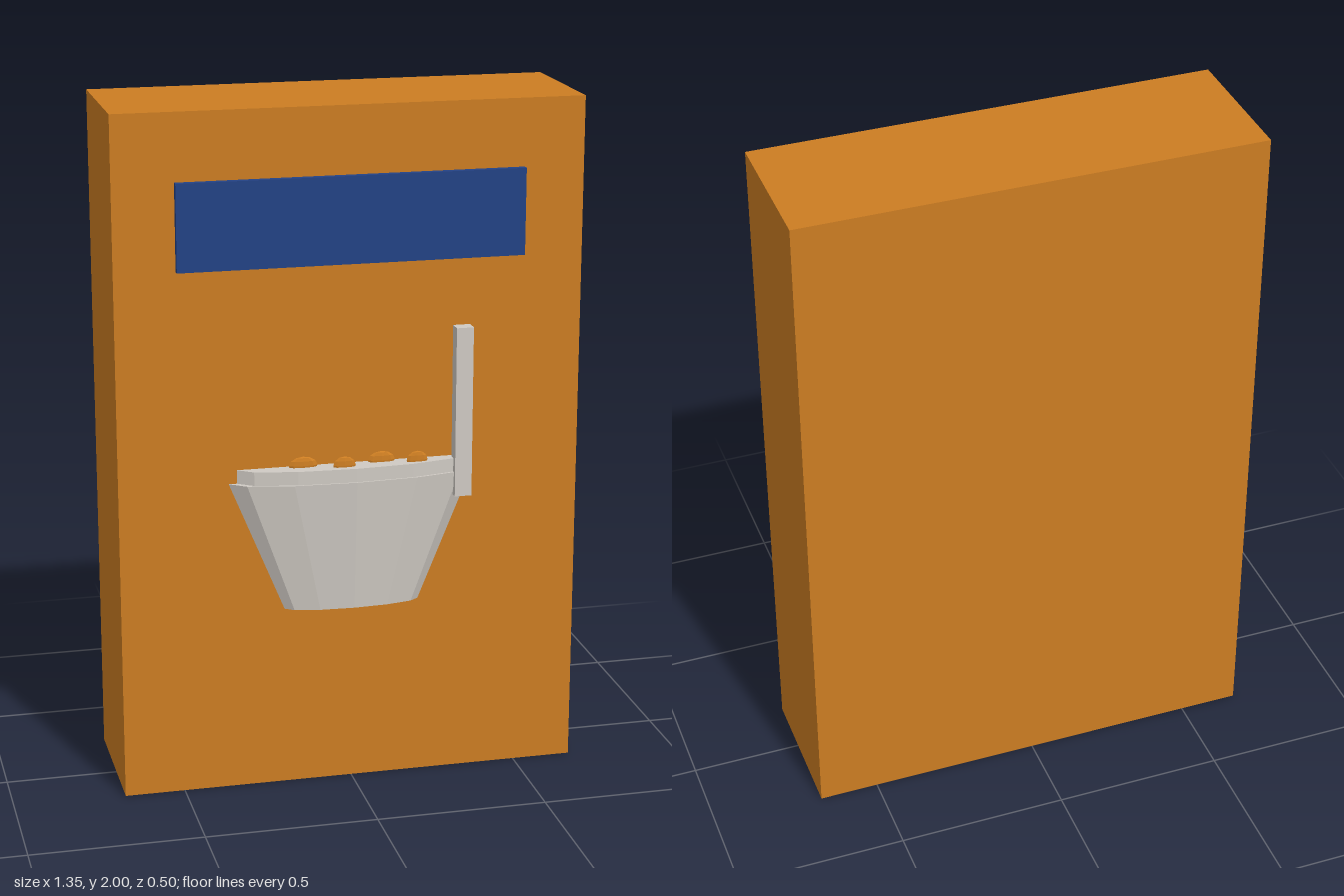
import * as THREE from 'three';

const flat = (name, color) => {
  const m = new THREE.MeshStandardMaterial({ color });
  m.name = name;
  m.flatShading = true;
  return m;
};

export function createModel() {
  const model = new THREE.Group();
  const orange = flat('orange', 0xcc7d22);
  const blue = flat('blue', 0x234285);
  const pale = flat('paleGrey', 0xcfcac3);

  const add = (name, geometry, material, x, y, z, parent = model) => {
    const mesh = new THREE.Mesh(geometry, material);
    mesh.name = name;
    mesh.position.set(x, y, z);
    parent.add(mesh);
    return mesh;
  };

  // Thick board and its header panel
  add('board', new THREE.BoxGeometry(1.35, 2, 0.424), orange, 0, 1, -0.036);
  add('headerPanel', new THREE.BoxGeometry(1, 0.25, 0.04), blue, 0, 1.68, 0.176);

  // Bowl in relief: twelve-sided, squashed against the board
  const relief = 0.2;
  const bowl = new THREE.Group();
  bowl.name = 'bowl';
  model.add(bowl);
  add('bowlBody', new THREE.CylinderGeometry(0.36, 0.2, 0.39, 12), pale, 0, 0.735, 0.175, bowl).scale.z = relief;
  add('bowlFilling', new THREE.CylinderGeometry(0.336, 0.336, 0.04, 12), pale, 0, 0.95, 0.175, bowl).scale.z = relief;

  // Pieces floating on the filling: x, z, radius
  const pieces = [[-0.145, 0.19, 0.042], [-0.03, 0.215, 0.033], [0.085, 0.188, 0.04], [0.185, 0.21, 0.031]];
  for (const [x, z, r] of pieces) {
    const geo = new THREE.SphereGeometry(1, 8, 6);
    add('floatingPiece', geo, orange, x, 0.975, z, bowl).scale.set(r, 0.026, r * relief);
  }

  // Upright handle at the bowl's left edge
  add('handle', new THREE.BoxGeometry(0.05, 0.5, 0.04), pale, 0.319, 1.11, 0.206);

  return model;
}
